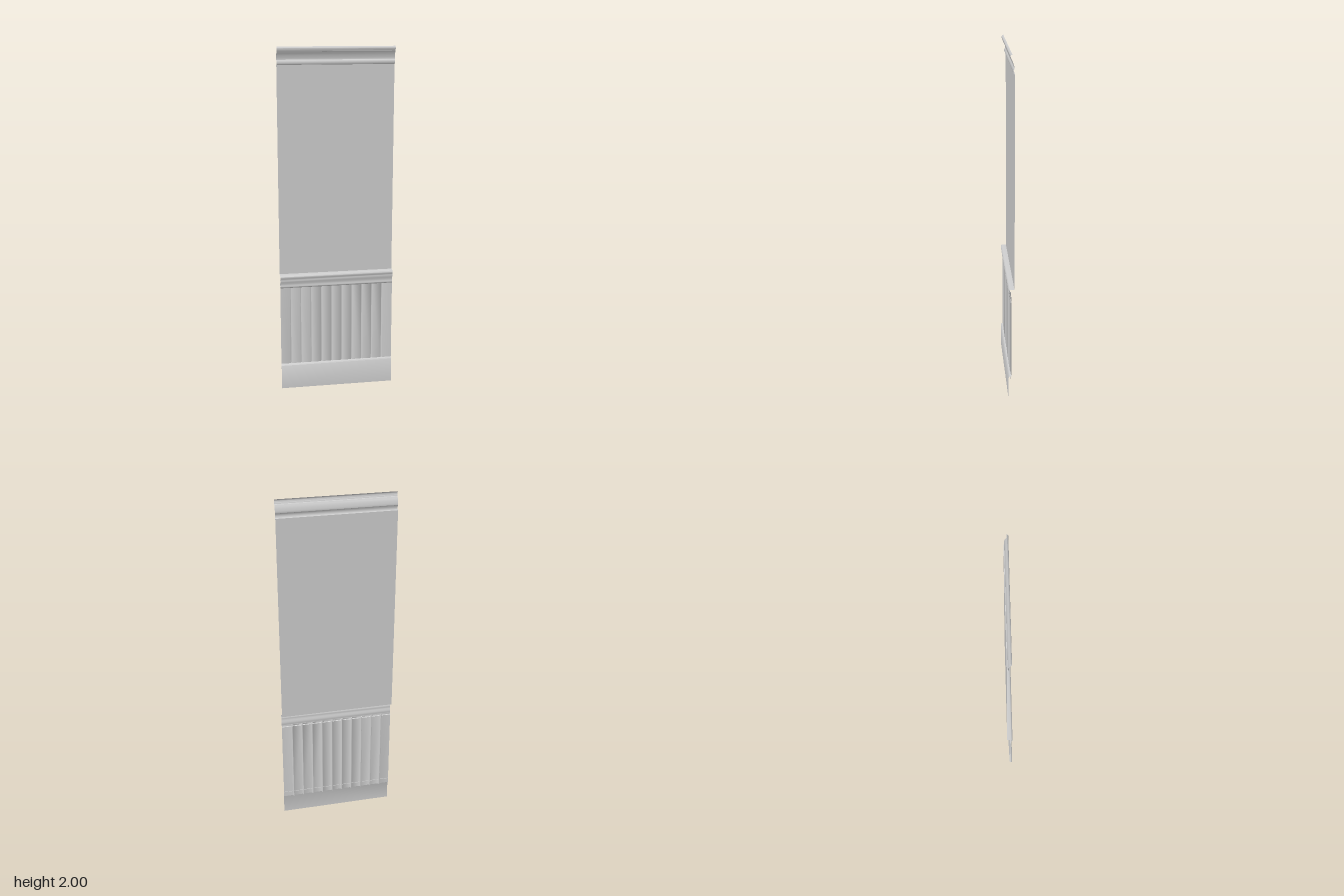
import * as THREE from 'three';
import { toCreasedNormals } from 'three/addons/utils/BufferGeometryUtils.js';

const HALF = 0.333;
const material = new THREE.MeshStandardMaterial({ color: 0xcccccc, side: THREE.DoubleSide });

// Open sheet between two matching rows of points (a to b)
function sheet(name, a, b, crease) {
  const pos = [];
  for (let i = 0; i < a.length - 1; i++) {
    pos.push(...a[i], ...b[i], ...b[i + 1], ...a[i], ...b[i + 1], ...a[i + 1]);
  }
  const geo = new THREE.BufferGeometry();
  geo.setAttribute('position', new THREE.Float32BufferAttribute(pos, 3));
  const mesh = new THREE.Mesh(toCreasedNormals(geo, crease), material);
  mesh.name = name;
  return mesh;
}

// Moulding: a [z, y] profile, listed bottom to top, run along x
function moulding(name, profile, crease = 0.7) {
  const row = (x) => profile.map(([z, y]) => [x, y, z]);
  return sheet(name, row(-HALF), row(HALF), crease);
}

// Vertical planks separated by V grooves
function beadboard(bottom, top) {
  const planks = 11, width = (2 * HALF) / planks, groove = 0.005;
  const face = 0.004, deep = -0.006;
  const section = [[-HALF, face]];
  for (let i = 1; i < planks; i++) {
    const x = -HALF + i * width;
    section.push([x - groove, face], [x - 0.001, deep], [x + 0.001, deep], [x + groove, face]);
  }
  section.push([HALF, face]);
  const row = (y) => section.map(([x, z]) => [x, y, z]);
  return sheet('beadboard', row(top), row(bottom), 1.3);
}

export function createModel() {
  const group = new THREE.Group();
  group.name = 'wallPanel';

  // Plain board with an eased top returning to the planks
  group.add(moulding('baseboard', [
    [0.015, 0], [0.015, 0.143], [0.012, 0.149], [0.007, 0.152], [-0.001, 0.153],
  ]));

  group.add(beadboard(0.12, 0.63));

  // Rail: small foot, swelling, groove and rounded nose
  group.add(moulding('chairRail', [
    [-0.001, 0.62], [0.004, 0.622], [0.007, 0.627], [0.007, 0.632],
    [0.005, 0.638], [0.006, 0.648], [0.009, 0.658], [0.012, 0.667],
    [0.010, 0.674], [0.012, 0.679], [0.015, 0.686], [0.015, 0.692],
    [0.012, 0.698], [0.007, 0.701], [-0.017, 0.702],
  ]));

  group.add(moulding('wall', [[-0.017, 0.70], [-0.017, 1.90]]));

  // Crown: lower bead, cove and top lip
  group.add(moulding('crown', [
    [-0.017, 1.90], [-0.011, 1.902], [-0.008, 1.908], [-0.008, 1.917],
    [-0.011, 1.924], [-0.014, 1.928], [-0.013, 1.938], [-0.010, 1.950],
    [-0.006, 1.961], [0.000, 1.970], [0.003, 1.973], [0.003, 1.978],
    [0.006, 1.982], [0.007, 1.988], [0.006, 1.994], [0.003, 1.998], [-0.003, 2.0],
  ]));

  return group;
}
